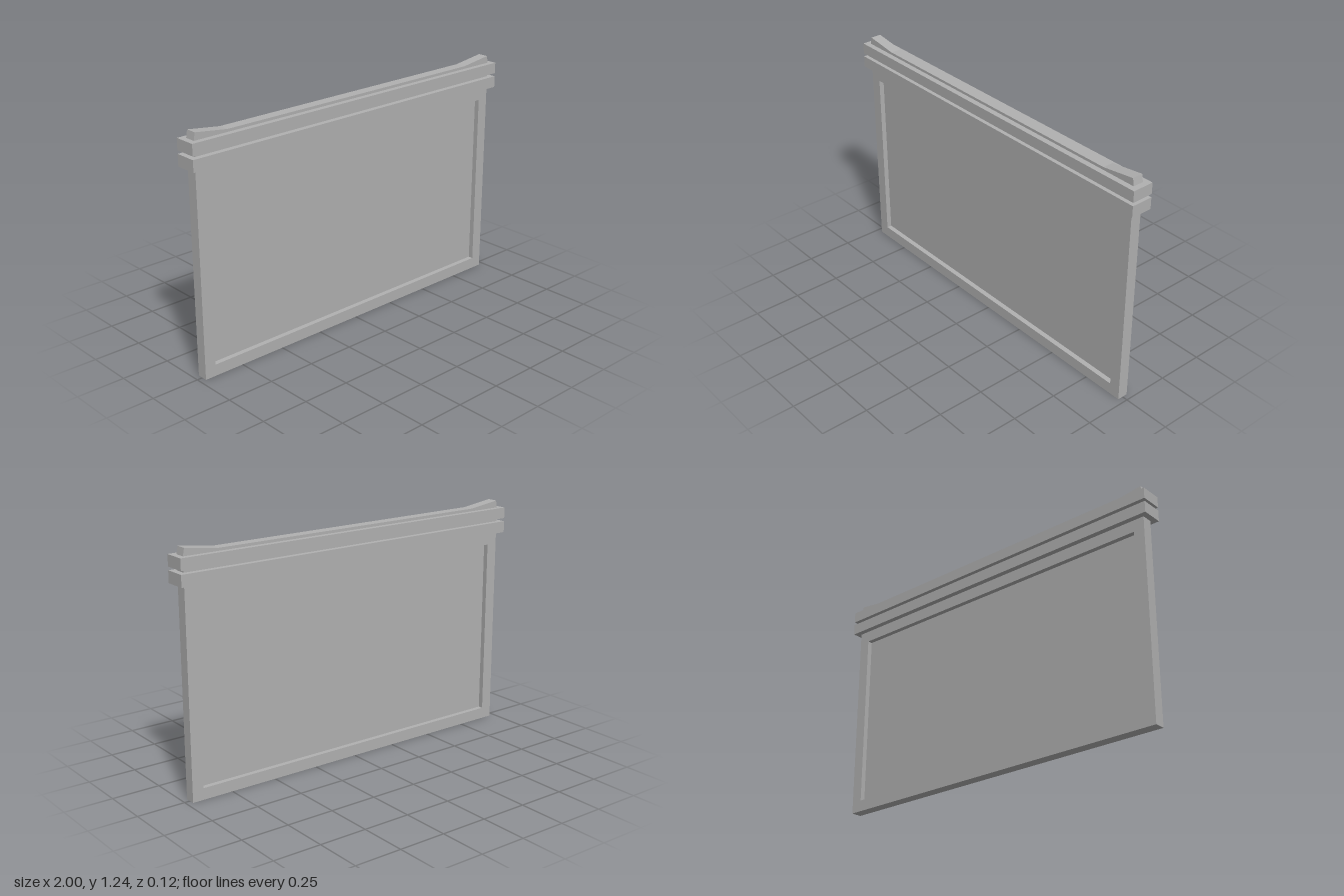
import * as THREE from 'three';

const DEPTH = 0.057; // thickness of frame and crest
const OUTER = 0.97; // half width of the frame

export function createModel() {
  const model = new THREE.Group();
  model.name = 'framedPanel';
  const grey = new THREE.MeshStandardMaterial({ color: 0xb0b0b0 });
  grey.name = 'plain grey';

  const add = (name, geometry, y = 0) => {
    const mesh = new THREE.Mesh(geometry, grey);
    mesh.name = name;
    mesh.position.y = y;
    model.add(mesh);
  };
  const outline = (points) => points.map(([x, y]) => new THREE.Vector2(x, y));
  const extrude = (shape) =>
    new THREE.ExtrudeGeometry(shape, { depth: DEPTH, bevelEnabled: false })
      .translate(0, 0, -DEPTH / 2);

  // Frame with a rectangular opening, running up between the rails
  const frame = new THREE.Shape(outline([[-OUTER, 0], [OUTER, 0], [OUTER, 1.15], [-OUTER, 1.15]]));
  frame.holes.push(new THREE.Path(outline([[-0.91, 0.06], [-0.91, 1], [0.91, 1], [0.91, 0.06]])));
  add('frame', extrude(frame));

  // Thin panel recessed from both faces
  add('panel', new THREE.BoxGeometry(1.84, 0.96, 0.004), 0.53);

  // Two projecting rails
  add('lowerRail', new THREE.BoxGeometry(2, 0.06, 0.115), 1.092);
  add('upperRail', new THREE.BoxGeometry(2, 0.058, 0.115), 1.168);

  // Crest with raised, slightly leaning ends
  add('crest', extrude(new THREE.Shape(outline([
    [-0.971, 1.19], [0.971, 1.19], [0.963, 1.235], [0.785, 1.211],
    [-0.785, 1.211], [-0.963, 1.235],
  ]))));

  return model;
}
